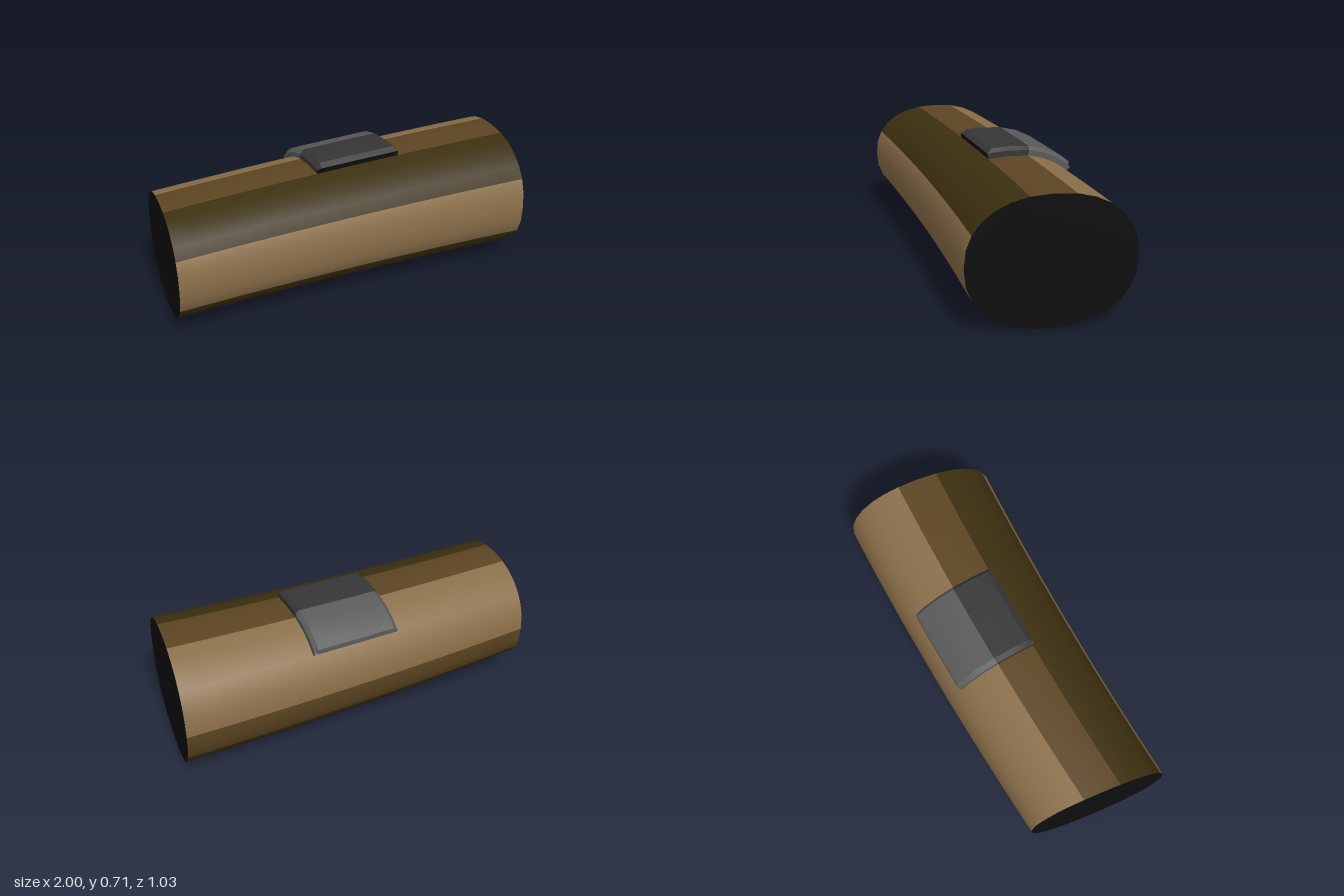
import * as THREE from 'three';
import { toCreasedNormals } from 'three/addons/utils/BufferGeometryUtils.js';

const SIDES = 28;
const lerp = THREE.MathUtils.lerp;

const paint = (name, color) => {
  const m = new THREE.MeshStandardMaterial({ color });
  m.name = name;
  return m;
};

// Point on the bent, tapering body: x along it, k = side index (0 front, 7 top), h = height above the skin
function skin(x, k, h = 0) {
  const a = (k / SIDES) * Math.PI * 2;
  const t = (x + 1) / 2;
  const c = Math.cos(a), s = Math.sin(a);
  const round = (n) => Math.sign(n) * Math.abs(n) ** 0.88;
  const centreZ = 0.0225 - 0.1125 * x - 0.025 * (1 - x * x);
  return [
    x,
    lerp(0.342, 0.34, t) + lerp(0.298, 0.34, t) * round(s) + h * s,
    centreZ + lerp(0.38, 0.425, t) * round(c) + h * c,
  ];
}

// Surface over rows (around) and columns (along); each row of faces gets the material colourOf(row)
function gridGeometry(rows, cols, point, colourOf, closed) {
  const pos = [], index = [];
  const geo = new THREE.BufferGeometry();
  for (let r = 0; r < rows; r++) for (let c = 0; c < cols; c++) pos.push(...point(r, c));
  const faceRows = closed ? rows : rows - 1;
  for (let r = 0; r < faceRows; r++) {
    const start = index.length;
    for (let c = 0; c < cols - 1; c++) {
      const p = r * cols + c, q = ((r + 1) % rows) * cols + c;
      index.push(p, p + 1, q, p + 1, q + 1, q);
    }
    geo.addGroup(start, index.length - start, colourOf(r));
  }
  geo.setAttribute('position', new THREE.Float32BufferAttribute(pos, 3));
  geo.setIndex(index);
  geo.computeVertexNormals();
  return geo;
}

// Flat end of the body
function endGeometry(x) {
  const shape = new THREE.Shape();
  for (let k = 0; k < SIDES; k++) {
    const [, y, z] = skin(x, k);
    if (k) shape.lineTo(-z, y);
    else shape.moveTo(-z, y);
  }
  const geo = new THREE.ShapeGeometry(shape);
  geo.rotateY(Math.PI / 2);
  geo.translate(x, 0, 0);
  return geo;
}

export function createModel() {
  const group = new THREE.Group();
  const add = (name, geo, mat) => {
    const mesh = new THREE.Mesh(geo, mat);
    mesh.name = name;
    group.add(mesh);
  };

  const tan = paint('tan', 0x8b6f4a);
  const brown = paint('brown', 0x5c4522);
  const olive = paint('dark olive', 0x3d3010);
  const black = paint('black', 0x0e0e0e);
  const endBlack = black.clone();
  endBlack.name = 'end black';
  endBlack.side = THREE.DoubleSide;
  const charcoal = paint('charcoal', 0x363636);
  const grey = paint('grey', 0x5a5a5a);

  // Body with lengthwise colour bands: tan front, olive shoulder, brown top, tan back, brown, olive underside
  const band = (k) => {
    if (k < 2 || k >= 26) return 0;
    if (k < 6) return 2;
    if (k < 8) return 1;
    if (k < 14) return 0;
    return k < 16 ? 1 : 2;
  };
  const stations = 21;
  add('body',
    gridGeometry(SIDES, stations, (r, c) => skin(-1 + (2 * c) / (stations - 1), r), band, true),
    [tan, brown, olive]);

  // Ends
  add('leftEnd', endGeometry(1), endBlack);
  add('rightEnd', endGeometry(-1), endBlack);

  // Raised plate curved over the top, with bevelled rim
  const rowK = [6, 6, 6.3, 7, 8, 9, 10, 10.75, 11, 11];
  const rowH = [-0.02, 0.03, 0.048, 0.048, 0.048, 0.048, 0.048, 0.048, 0.03, -0.02];
  const colX = [-0.165, -0.165, -0.14, 0.08, 0.305, 0.325, 0.325];
  const colH = [-0.02, 0.025, 0.048, 0.048, 0.048, 0.03, -0.02];
  const plate = gridGeometry(rowK.length, colX.length, (r, c) => {
    const h = Math.min(rowH[r], colH[c]);
    const z = skin(colX[c], rowK[r], h)[2];
    const x = colX[c] + 0.11 * (z + 0.01); // ends stay square to the bend
    return skin(x, rowK[r], h);
  }, (r) => (r === 0 || r === rowK.length - 2 ? 0 : r < 4 ? 1 : 2), false);
  add('topPlate', toCreasedNormals(plate, 0.5), [black, charcoal, grey]);

  return group;
}
